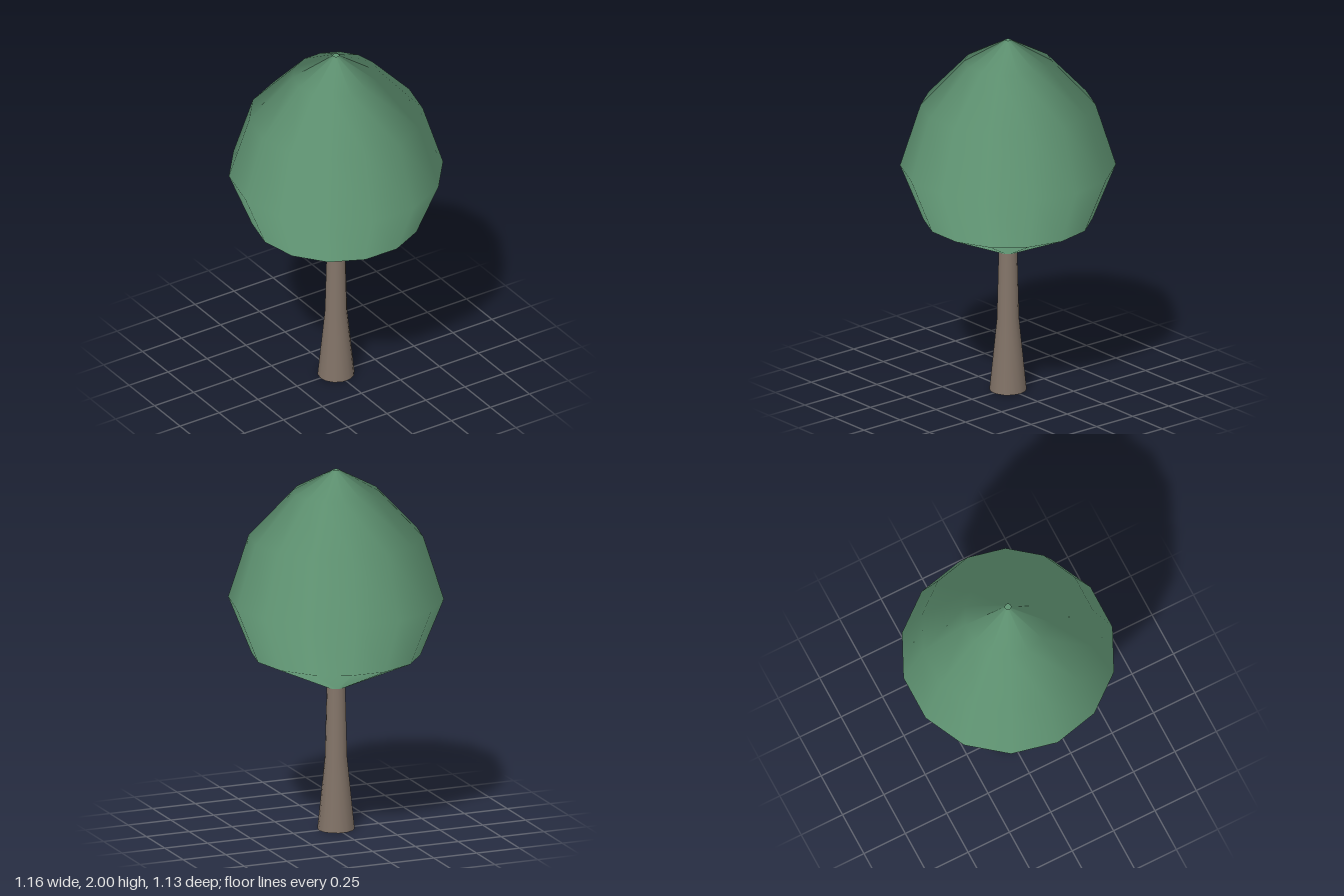
import * as THREE from 'three';

const SIDES = 14;

// Open lathe with one corner on +x and horizontal, purely radial shading
function turned(name, profile, material) {
  const points = profile.map(([r, y]) => new THREE.Vector2(r, y));
  const geometry = new THREE.LatheGeometry(points, SIDES, Math.PI / 2);
  const { position, normal } = geometry.attributes;
  for (let i = 0; i < position.count; i++) {
    const x = position.getX(i), z = position.getZ(i), r = Math.hypot(x, z);
    normal.setXYZ(i, x / r, 0, z / r);
  }
  const mesh = new THREE.Mesh(geometry, material);
  mesh.name = name;
  return mesh;
}

export function createModel() {
  const leafGreen = new THREE.MeshStandardMaterial({ color: 0x6ba580, side: THREE.DoubleSide });
  leafGreen.name = 'leaf green';
  const barkBrown = new THREE.MeshStandardMaterial({ color: 0x85766a, side: THREE.DoubleSide });
  barkBrown.name = 'bark brown';

  const tree = new THREE.Group();
  tree.name = 'tree';

  // Hollow trunk, flared at the foot
  tree.add(turned('trunk', [[0.1, 0], [0.06, 0.4], [0.05, 0.8]], barkBrown));

  // Faceted egg-shaped crown with a tiny opening at the tip
  tree.add(turned('crown', [
    [0.05, 0.79], [0.455, 0.975], [0.58, 1.285],
    [0.47, 1.63], [0.235, 1.88], [0.016, 2],
  ], leafGreen));

  return tree;
}
